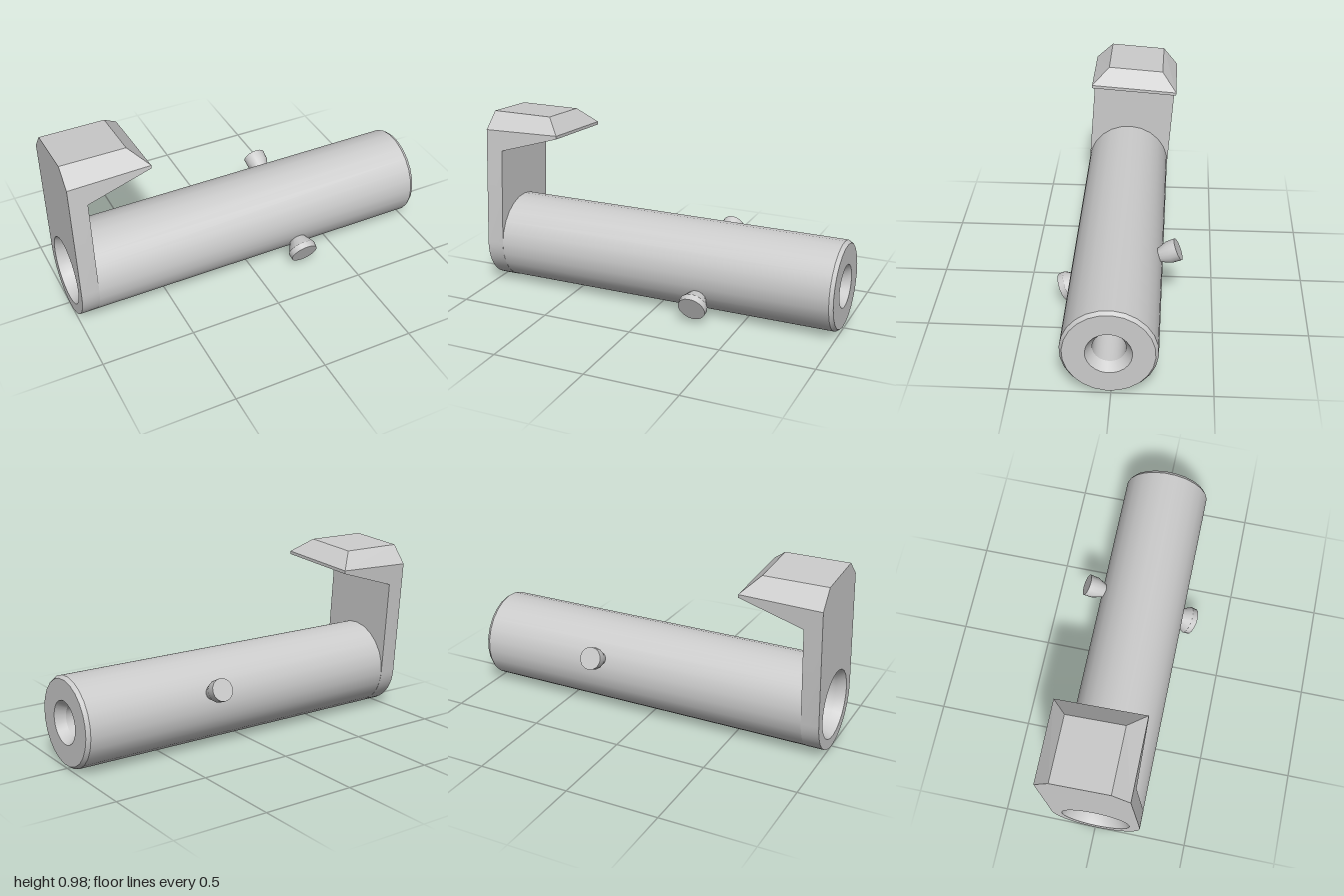
import * as THREE from 'three';
import { toCreasedNormals } from 'three/addons/utils/BufferGeometryUtils.js';

const R = 0.24; // barrel radius, also half the arm width
const BORE = 0.185;

const material = new THREE.MeshStandardMaterial({ color: 0xcccccc });

function part(name, geometry) {
  const mesh = new THREE.Mesh(geometry, material);
  mesh.name = name;
  return mesh;
}

// Turned solid from [radius, height] pairs, with crisp edges
function turned(points, sides) {
  const profile = points.map(([r, h]) => new THREE.Vector2(r, h));
  return toCreasedNormals(new THREE.LatheGeometry(profile, sides), 0.5);
}

// Flat-faced solid lofted through four-cornered rings, from bottom to top
function loft(rings) {
  const pos = [];
  const quad = (a, b, c, d) => [a, b, c, a, c, d].forEach((p) => pos.push(...p));
  for (let i = 0; i < rings.length - 1; i++) {
    const lo = rings[i], hi = rings[i + 1];
    for (let j = 0; j < 4; j++) {
      const k = (j + 1) % 4;
      quad(lo[j], lo[k], hi[k], hi[j]);
    }
  }
  const top = rings[rings.length - 1], bottom = rings[0];
  quad(top[0], top[1], top[2], top[3]);
  quad(bottom[3], bottom[2], bottom[1], bottom[0]);
  const g = new THREE.BufferGeometry();
  g.setAttribute('position', new THREE.Float32BufferAttribute(pos, 3));
  g.computeVertexNormals();
  return g;
}

// Ring of corners: outer end (x = -1) at height yBack, free end at (xFront, yFront)
function hookRing(yBack, xFront, yFront, half) {
  return [
    [-1, yBack, half], [xFront, yFront, half],
    [xFront, yFront, -half], [-1, yBack, -half],
  ];
}

// Peg whose outer face is centred on (x, y, z) and points along (dirY, dirZ)
function peg(name, profile, x, y, z, dirY, dirZ) {
  const mesh = part(name, turned(profile, 16));
  mesh.position.set(x, y, z);
  mesh.rotation.x = Math.atan2(dirZ, dirY);
  return mesh;
}

export function createModel() {
  const model = new THREE.Group();

  // Barrel, arm and hook share one slightly tilted frame on the barrel axis
  const body = new THREE.Group();
  body.name = 'body';
  body.position.set(0, 0.24, 0.01);
  body.rotation.x = -0.0735;
  model.add(body);

  // Hollow barrel: wide bore at one end, countersunk socket at the other
  const barrel = part('barrel', turned([
    [0, 0.5], [0.165, 0.5], [0.165, -0.95], [BORE, -1], [R, -0.995],
    [R, 0.98], [0.226, 1], [0.115, 1], [0.083, 0.95], [0.08, 0.65], [0, 0.65],
  ], 24));
  barrel.rotation.z = -Math.PI / 2;
  body.add(barrel);

  // Upright arm plate with a rounded foot around the bore
  const outline = new THREE.Shape();
  outline.moveTo(R, 0.53);
  outline.lineTo(-R, 0.53);
  outline.lineTo(-R, 0);
  outline.absarc(0, 0, R, Math.PI, Math.PI * 2, false);
  outline.closePath();
  const hole = new THREE.Path();
  hole.absarc(0, 0, BORE, 0, Math.PI * 2, true);
  outline.holes.push(hole);
  const plate = new THREE.ExtrudeGeometry(outline, {
    depth: 0.095, bevelEnabled: false, curveSegments: 12,
  });
  const arm = part('arm', toCreasedNormals(plate, 0.5));
  arm.rotation.y = Math.PI / 2;
  arm.position.x = -1;
  body.add(arm);

  // Bevelled hook overhanging the barrel
  body.add(part('hook', loft([
    hookRing(0.53, -0.905, 0.53, R),
    hookRing(0.58, -0.565, 0.634, R),
    hookRing(0.64, -0.565, 0.651, R),
    hookRing(0.732, -0.655, 0.732, 0.153),
  ])));

  // Flared pegs on opposite sides of the barrel
  model.add(peg('frontPeg', [
    [0, -0.14], [0.02, -0.14], [0.078, -0.033], [0.075, 0], [0, 0],
  ], 0.265, 0.096, 0.303, -0.4, 0.916));
  model.add(peg('backPeg', [
    [0, -0.14], [0.025, -0.14], [0.059, -0.05], [0.061, 0], [0, 0],
  ], 0.263, 0.36, -0.31, 0.4, -0.916));

  return model;
}
